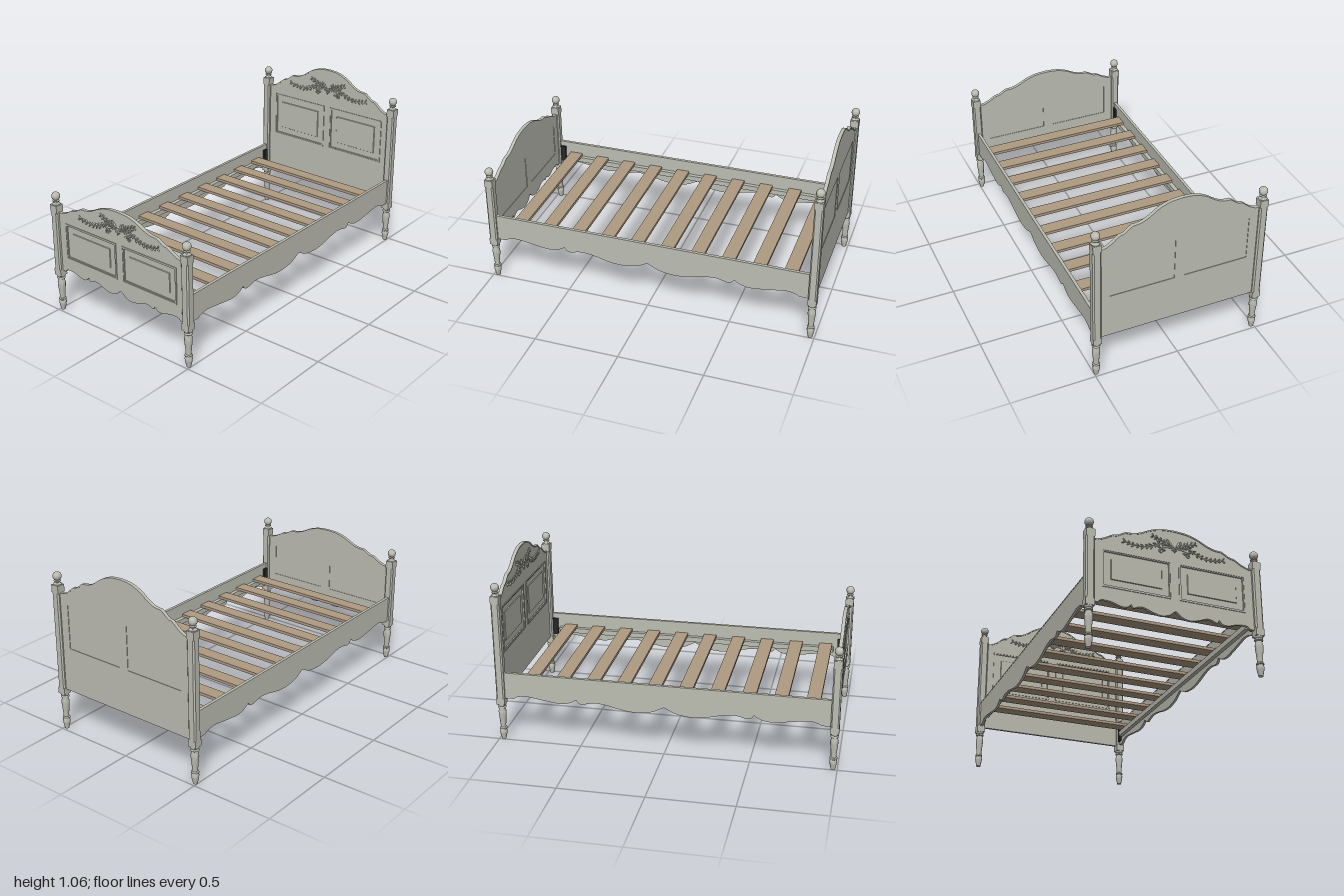
import * as THREE from 'three';
import { toCreasedNormals } from 'three/addons/utils/BufferGeometryUtils.js';

const paint = new THREE.MeshStandardMaterial({ color: 0xbcbdb2 });
paint.name = 'greyPaint';
const wood = new THREE.MeshStandardMaterial({ color: 0xae9a82 });
wood.name = 'slatWood';
const metal = new THREE.MeshStandardMaterial({ color: 0x26272a });
metal.name = 'darkMetal';

const V2 = (p) => new THREE.Vector2(p[0], p[1]);

function add(parent, name, geo, mat, x = 0, y = 0, z = 0) {
  const m = new THREE.Mesh(geo, mat);
  m.name = name;
  m.position.set(x, y, z);
  parent.add(m);
  return m;
}

// Smooth curves joined at sharp cusps; each run is a list of [x, y]
function runs(list, n = 4) {
  return list.flatMap((r) => new THREE.SplineCurve(r.map(V2)).getPoints(r.length * n));
}

// Half profile from the outer end to x = 0, mirrored to the full width
function mirrored(half) {
  const other = half.slice(0, -1).reverse().map((p) => new THREE.Vector2(-p.x, p.y));
  return [...half, ...other];
}

function rectPath(x0, y0, x1, y1, Kind = THREE.Path) {
  return new Kind([[x0, y0], [x1, y0], [x1, y1], [x0, y1]].map(V2));
}

function extrude(shape, depth) {
  const g = new THREE.ExtrudeGeometry(shape, { depth, bevelEnabled: false });
  return toCreasedNormals(g, 0.5);
}

const crest = runs([
  [[0.465, 0.862], [0.437, 0.865], [0.40, 0.885], [0.37, 0.91], [0.355, 0.921]],
  [[0.355, 0.921], [0.33, 0.927], [0.30, 0.95], [0.283, 0.963]],
  [[0.283, 0.963], [0.255, 0.965], [0.23, 0.97], [0.19, 0.99], [0.135, 1.028], [0.07, 1.053], [0, 1.06]],
]);
const footScallop = runs([
  [[0.465, 0.264], [0.437, 0.264]],
  [[0.437, 0.264], [0.425, 0.277], [0.40, 0.281], [0.36, 0.277], [0.31, 0.262], [0.275, 0.263], [0.253, 0.284]],
  [[0.253, 0.284], [0.24, 0.265], [0.215, 0.275], [0.18, 0.278], [0.13, 0.26], [0.08, 0.25], [0.035, 0.262], [0.015, 0.279], [0, 0.289]],
]);
const railScallop = runs([
  [[0.955, 0.268], [0.90, 0.268]],
  [[0.90, 0.268], [0.87, 0.283], [0.82, 0.289], [0.73, 0.276], [0.62, 0.262], [0.56, 0.272], [0.52, 0.295]],
  [[0.52, 0.295], [0.49, 0.27], [0.41, 0.285], [0.33, 0.276], [0.25, 0.257], [0.166, 0.248], [0.075, 0.26], [0.027, 0.282], [0, 0.295]],
]);

// Turned foot, chamfered square shaft and ball finial
function makePost(name, top) {
  const g = new THREE.Group();
  g.name = name;
  const leg = [[0, 0], [0.013, 0], [0.015, 0.012], [0.02, 0.035], [0.022, 0.052], [0.018, 0.064], [0.022, 0.067],
    [0.022, 0.074], [0.016, 0.079], [0.016, 0.09], [0.019, 0.125], [0.023, 0.165], [0.023, 0.18], [0.018, 0.197],
    [0.018, 0.202], [0.024, 0.206], [0.024, 0.212], [0.02, 0.217], [0.024, 0.222], [0.024, 0.232]];
  add(g, 'turnedLeg', toCreasedNormals(new THREE.LatheGeometry(leg.map(V2), 24), 0.7), paint);
  const h = 0.025, c = 0.017, lo = 0.27, hi = top - 0.045;
  add(g, 'shaftBase', new THREE.BoxGeometry(0.05, lo - 0.23, 0.05), paint, 0, (lo + 0.23) / 2, 0);
  const oct = new THREE.Shape([[h, -c], [h, c], [c, h], [-c, h], [-h, c], [-h, -c], [-c, -h], [c, -h]].map(V2));
  const shaft = add(g, 'chamferedShaft', extrude(oct, hi - lo), paint, 0, lo, 0);
  shaft.rotation.x = -Math.PI / 2;
  add(g, 'shaftTop', new THREE.BoxGeometry(0.05, top - hi, 0.05), paint, 0, (top + hi) / 2, 0);
  const fin = [[0.024, 0], [0.024, 0.005], [0.016, 0.01], [0.014, 0.016], [0.02, 0.02], [0.02, 0.024], [0.013, 0.028]];
  for (let i = 0; i <= 12; i++) {
    const a = -1.0 + (i / 12) * (Math.PI / 2 + 1.0);
    fin.push([Math.max(0, 0.025 * Math.cos(a)), 0.05 + 0.025 * Math.sin(a)]);
  }
  add(g, 'finial', toCreasedNormals(new THREE.LatheGeometry(fin.map(V2), 24), 0.7), paint, 0, top, 0);
  return g;
}

// Carved leafy spray in low relief, centred on the flower
function makeCarving() {
  const g = new THREE.Group();
  g.name = 'carvedSpray';
  const ball = new THREE.SphereGeometry(1, 10, 6);
  const leaf = (x, y, angle, len, wid) => {
    const m = add(g, 'leaf', ball, paint, x + Math.cos(angle) * len, y + Math.sin(angle) * len, 0.002);
    m.scale.set(len, wid, 0.006);
    m.rotation.z = angle;
  };
  const stems = [
    [[0.01, 0], [0.04, 0.022], [0.09, 0.018], [0.13, -0.005], [0.19, -0.022], [0.25, -0.02], [0.285, -0.012]],
    [[0.03, 0.015], [0.06, 0.03], [0.09, 0.045], [0.12, 0.055]],
    [[0.02, 0.005], [0.055, 0], [0.085, -0.012], [0.09, -0.03], [0.075, -0.035], [0.068, -0.022]],
  ];
  const leafCount = [11, 4, 2];
  for (const s of [1, -1]) {
    stems.forEach((pts, k) => {
      const curve = new THREE.CatmullRomCurve3(pts.map((p) => new THREE.Vector3(s * p[0], p[1], 0.001)));
      add(g, 'stem', new THREE.TubeGeometry(curve, 24, 0.0028, 6), paint);
      for (let i = 1; i <= leafCount[k]; i++) {
        const t = i / leafCount[k];
        const p = curve.getPointAt(t), d = curve.getTangentAt(t);
        const a = Math.atan2(d.y, d.x);
        const len = 0.013 - 0.003 * t + 0.002 * (i % 2);
        leaf(p.x, p.y, a + 0.75, len, 0.0042);
        leaf(p.x, p.y, a - 0.75, len * 0.85, 0.0042);
      }
    });
    leaf(s * 0.012, 0.012, Math.PI / 2 - s * 0.5, 0.021, 0.006);
    leaf(s * 0.035, 0.02, Math.PI / 2 - s * 0.2, 0.018, 0.005);
  }
  // Central flower
  for (let i = 0; i < 6; i++) leaf(0, 0, (i * Math.PI) / 3 + 0.52, 0.009, 0.006);
  for (let i = 0; i < 4; i++) {
    add(g, 'flowerBud', ball, paint, 0, 0.008 - i * 0.009, 0.004).scale.setScalar(0.0065 - i * 0.0008);
  }
  return g;
}

// Arched board with two framed panels; front faces +z, centred on z = 0
function makeBoard(name, top, bottom, panelY0, panelY1, carvingY) {
  const g = new THREE.Group();
  g.name = name;
  const T = 0.016;
  const shape = new THREE.Shape([...bottom.slice().reverse(), ...top]);
  for (const s of [1, -1]) {
    const x0 = s > 0 ? 0.022 : -0.417, x1 = x0 + 0.395;
    const cx = (x0 + x1) / 2, cy = (panelY0 + panelY1) / 2;
    const w = x1 - x0, h = panelY1 - panelY0;
    shape.holes.push(rectPath(x0 + 0.009, panelY0 + 0.009, x1 - 0.009, panelY1 - 0.009));
    add(g, 'panel', new THREE.BoxGeometry(w - 0.018, h - 0.018, 0.007), paint, cx, cy, -0.0015);
    // Stepped moulding round the panel
    [[0, 0.007, 0.012], [0.005, 0.013, 0.009]].forEach(([a, b, front]) => {
      const ring = rectPath(x0 + a, panelY0 + a, x1 - a, panelY1 - a, THREE.Shape);
      ring.holes.push(rectPath(x0 + b, panelY0 + b, x1 - b, panelY1 - b));
      add(g, 'panelMoulding', extrude(ring, front), paint);
    });
    // Raised field with sloping edges
    const field = new THREE.BoxGeometry(w - 0.1, h - 0.1, 0.006);
    const p = field.attributes.position;
    for (let i = 0; i < p.count; i++) {
      if (p.getZ(i) > 0) p.setXY(i, p.getX(i) * (1 - 0.012 / w), p.getY(i) * (1 - 0.012 / h));
    }
    const flat = field.toNonIndexed();
    flat.computeVertexNormals();
    add(g, 'raisedField', flat, paint, cx, cy, 0.003);
  }
  add(g, 'boardBody', extrude(shape, T), paint, 0, 0, -T / 2);
  // Bead along the crest
  const under = top.map((p) => new THREE.Vector2(p.x, p.y - 0.008)).reverse();
  add(g, 'crestBead', extrude(new THREE.Shape([...top, ...under]), 0.021), paint, 0, 0, -0.0095);
  const carving = makeCarving();
  carving.position.set(0, carvingY, T / 2);
  g.add(carving);
  return g;
}

export function createModel() {
  const bed = new THREE.Group();
  bed.name = 'bed';

  // Corner posts
  for (const s of [1, -1]) {
    const head = makePost('headPost', 0.905);
    head.position.set(s * 0.487, 0, -0.975);
    const foot = makePost('footPost', 0.675);
    foot.position.set(s * 0.487, 0, 0.975);
    bed.add(head, foot);
  }

  // Headboard and lower, scalloped footboard
  const straight = [[0.465, 0.265], [0, 0.265]].map(V2);
  const headboard = makeBoard('headboard', mirrored(crest), mirrored(straight), 0.527, 0.81, 0.92);
  headboard.position.z = -0.977;
  const lowCrest = crest.map((p) => new THREE.Vector2(p.x, 0.632 + (p.y - 0.862) * 0.72));
  const footboard = makeBoard('footboard', mirrored(lowCrest), mirrored(footScallop), 0.357, 0.578, 0.66);
  footboard.position.z = 0.972;
  bed.add(headboard, footboard);

  // Side rails, slat ledges and corner brackets
  const railShape = new THREE.Shape([...mirrored(railScallop), V2([-0.955, 0.43]), V2([0.955, 0.43])]);
  const railGeo = extrude(railShape, 0.015);
  for (const s of [1, -1]) {
    const rail = add(bed, 'sideRail', railGeo, paint, s * 0.4875 - 0.0075, 0, 0);
    rail.rotation.y = Math.PI / 2;
    add(bed, 'railBead', new THREE.BoxGeometry(0.018, 0.006, 1.91), paint, s * 0.4875, 0.428, 0);
    add(bed, 'slatLedge', new THREE.BoxGeometry(0.025, 0.032, 1.79), paint, s * 0.4675, 0.326, -0.005);
    for (const e of [1, -1]) {
      add(bed, 'cornerBracket', new THREE.BoxGeometry(0.012, 0.11, 0.035), metal, s * 0.4745, 0.342, e * 0.932);
    }
  }

  // Slats
  const slatGeo = new THREE.BoxGeometry(0.96, 0.018, 0.08);
  for (let i = 0; i < 10; i++) add(bed, 'slat', slatGeo, wood, 0, 0.351, -0.825 + i * 0.185);

  return bed;
}
